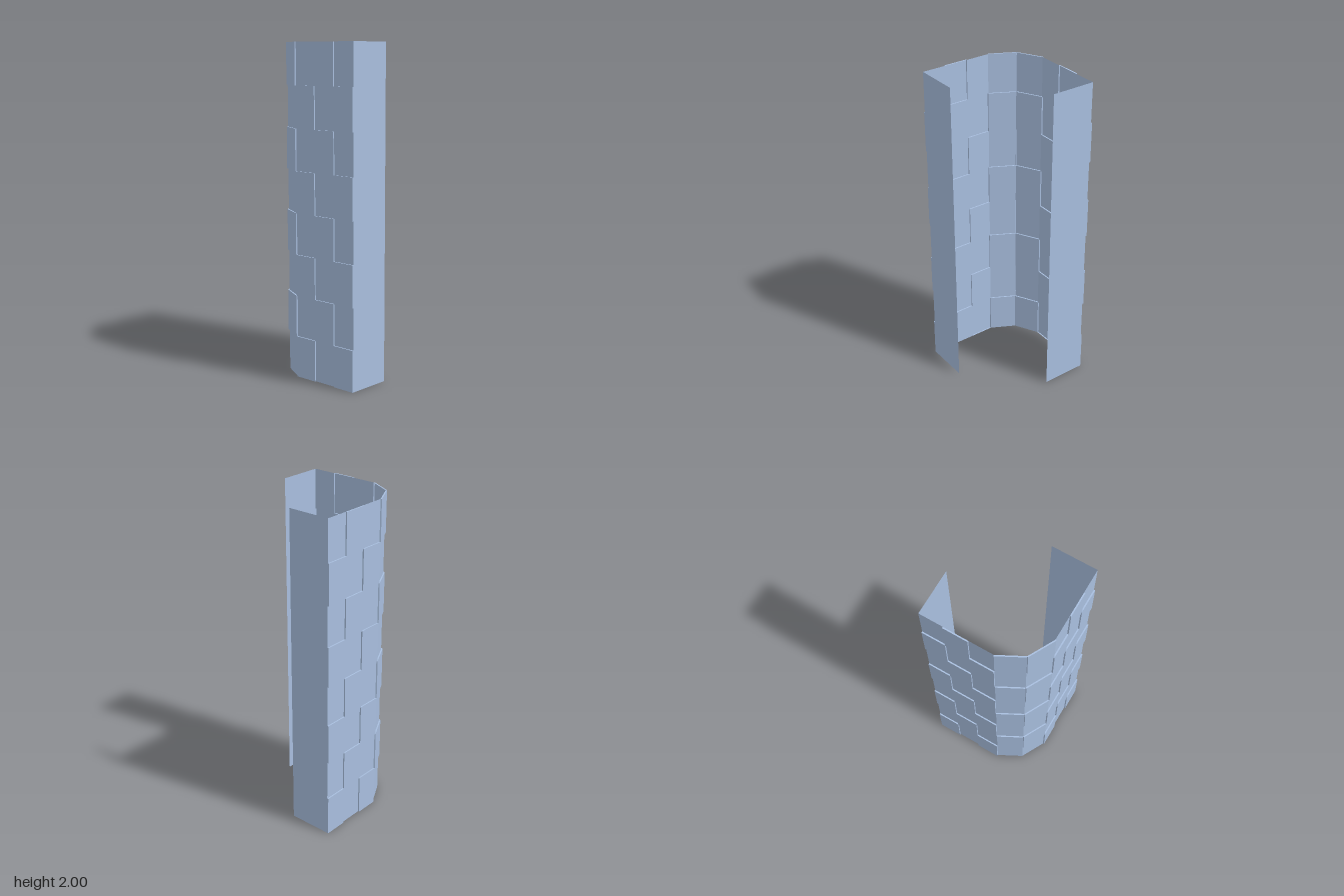
import * as THREE from 'three';

const ROWS = 8, ROW_H = 0.25, DEPTH = 0.008;
const EDGE = 0.342, INNER = EDGE - DEPTH, LIP = 0.06;

// Plan of the wall as [x, z] points, from the back end round the corner to the right end
const PLAN = [
  [-INNER, -EDGE], [-INNER, -0.195], [-INNER, -0.044], [-INNER, 0.106],
  [-0.255, 0.255],
  [-0.106, INNER], [0.044, INNER], [0.195, INNER], [EDGE, INNER],
];

const material = new THREE.MeshStandardMaterial({
  color: 0xa9bfdf, side: THREE.DoubleSide, flatShading: true,
});

// Upright rectangle or raised tray spanning two plan points, facing outwards
function panel(name, a, b, y, height, raised) {
  const dx = b[0] - a[0], dz = b[1] - a[1], width = Math.hypot(dx, dz);
  let geometry;
  if (raised) {
    // Box without its inner face, so the raised tile is hollow behind
    geometry = new THREE.BoxGeometry(width, height, DEPTH);
    geometry.setIndex(Array.from(geometry.index.array).slice(0, 30));
    geometry.clearGroups();
    geometry.translate(0, 0, DEPTH / 2);
  } else {
    geometry = new THREE.PlaneGeometry(width, height);
  }
  const mesh = new THREE.Mesh(geometry, material);
  mesh.name = name;
  mesh.position.set((a[0] + b[0]) / 2, y + height / 2, (a[1] + b[1]) / 2);
  mesh.rotation.y = Math.atan2(-dz, dx);
  return mesh;
}

export function createModel() {
  const model = new THREE.Group();
  model.name = 'corner wall';

  // Columns of alternating raised and recessed tiles, mirrored about the corner
  const columns = PLAN.length - 1;
  for (let c = 0; c < columns; c++) {
    const column = new THREE.Group();
    column.name = `tileColumn${c + 1}`;
    const fromEnd = Math.min(c, columns - 1 - c);
    for (let r = 0; r < ROWS; r++) {
      const raised = (fromEnd + r) % 2 === 0;
      column.add(panel(raised ? 'raisedTile' : 'recessedTile',
        PLAN[c], PLAN[c + 1], r * ROW_H, ROW_H, raised));
    }
    model.add(column);
  }

  // Plain return flanges at both ends
  const height = ROWS * ROW_H;
  model.add(panel('rightFlange', [EDGE, INNER], [EDGE, LIP], 0, height, false));
  model.add(panel('backFlange', [-LIP, -EDGE], [-INNER, -EDGE], 0, height, false));
  return model;
}
